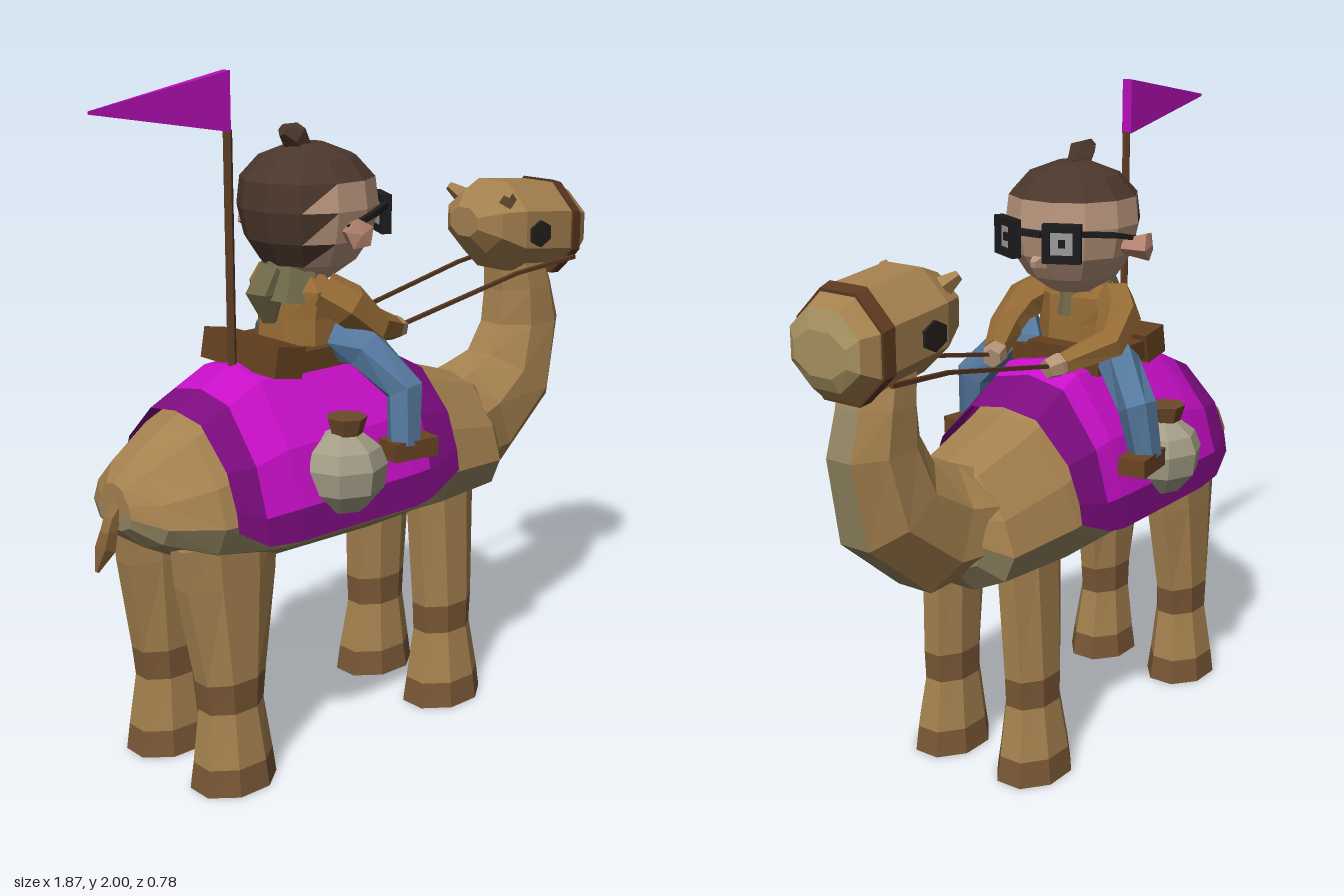
import * as THREE from 'three';

const COLORS = {
  body: 0xa5814f, belly: 0x938561, ankle: 0x7a5836, hoof: 0x7a5836, tail: 0x8f6c3e, tailTuft: 0x7d5c36,
  head: 0xa5814f, muzzle: 0xa5905f, eye: 0x241f1d, bridle: 0x5b3820, rein: 0x5b3820,
  blanket: 0xc80fc8, blanketBorder: 0x7d0c80, saddle: 0x64401f, pole: 0x5f3d24, flag: 0xb80fb8,
  sack: 0xa39d86, sackTie: 0x6b4a2a, jacket: 0x966b35, scarf: 0x6e6848, trousers: 0x55789e,
  boot: 0x6b4425, hand: 0xb59578, face: 0xb8947c, hair: 0x4b372c, ear: 0xb98672, glasses: 0x1c1c1e,
  lens: 0x9a9a9a,
};
const V = (x, y, z) => new THREE.Vector3(x, y, z);

function add(parent, name, geometry, x = 0, y = 0, z = 0) {
  const material = new THREE.MeshStandardMaterial({ color: COLORS[name], flatShading: true, side: THREE.DoubleSide });
  const mesh = new THREE.Mesh(geometry, material);
  mesh.name = name;
  mesh.position.set(x, y, z);
  parent.add(mesh);
  return mesh;
}

// Skins a row of cross-sections; pick(segment, column, centre) names the part each face belongs to
function loft(parent, rings, pick, closed = true) {
  const parts = {};
  const tri = (i, j, a, b, c) => {
    const mid = V(0, 0, 0).add(a).add(b).add(c).divideScalar(3);
    const list = (parts[pick(i, j, mid)] ??= []);
    for (const p of [a, b, c]) list.push(p.x, p.y, p.z);
  };
  const n = rings[0].length;
  for (let i = 0; i < rings.length - 1; i++) {
    for (let j = 0; j < (closed ? n : n - 1); j++) {
      const k = (j + 1) % n, [r, s] = [rings[i], rings[i + 1]];
      tri(i, j, r[j], r[k], s[k]);
      tri(i, j, r[j], s[k], s[j]);
    }
  }
  if (closed) for (const end of [0, rings.length - 1]) {
    const ring = rings[end], mid = V(0, 0, 0);
    ring.forEach((p) => mid.addScaledVector(p, 1 / n));
    for (let j = 0; j < n; j++) {
      const [a, b] = [ring[j], ring[(j + 1) % n]];
      end ? tri(end, j, mid, a, b) : tri(-1, j, mid, b, a);
    }
  }
  for (const [name, list] of Object.entries(parts)) {
    const g = new THREE.BufferGeometry();
    g.setAttribute('position', new THREE.Float32BufferAttribute(list, 3));
    g.computeVertexNormals();
    add(parent, name, g);
  }
}

// Ring of n corners around centre c, spanned by half axes u and v
function ring(c, u, v, n = 8, turn = 0.5) {
  return Array.from({ length: n }, (_, j) => {
    const a = ((j + turn) / n) * Math.PI * 2;
    return c.clone().addScaledVector(u, Math.cos(a)).addScaledVector(v, Math.sin(a));
  });
}

// Faceted limb through points [x, y, z, radius]
function limb(parent, name, pts, sides = 6) {
  const p = pts.map((q) => V(q[0], q[1], q[2]));
  const rings = p.map((c, i) => {
    const t = p[Math.min(i + 1, p.length - 1)].clone().sub(p[Math.max(i - 1, 0)]).normalize();
    const u = V(0, 0, 1).addScaledVector(t, -t.z).normalize();
    const v = t.clone().cross(u);
    return ring(c, u.multiplyScalar(pts[i][3]), v.multiplyScalar(pts[i][3]), sides);
  });
  loft(parent, rings, () => name);
}

function buildCamel(g) {
  // Torso: x, top, bottom, half width
  const half = [[0, 1], [0.45, 0.93], [0.85, 0.62], [1, 0.35], [0.85, 0.14], [0.35, 0]];
  const profile = [...half, ...half.slice(1).reverse().map(([z, y]) => [-z, y])];
  const torso = [[-0.87, 0.92, 0.79, 0.08], [-0.82, 0.97, 0.74, 0.18], [-0.68, 1.06, 0.67, 0.25], [-0.46, 1.16, 0.62, 0.275],
    [-0.02, 1.185, 0.615, 0.275], [0.17, 1.09, 0.62, 0.265], [0.42, 1.01, 0.63, 0.225], [0.48, 0.98, 0.7, 0.16]];
  loft(g, torso.map(([x, top, low, w]) => profile.map(([z, y]) => V(x, low + (top - low) * y, z * w))),
    (i, j) => (j >= 3 && j <= 7 ? 'belly' : 'body'));

  // Neck: back x, y, front x, y, half width
  const neck = [[0.4, 1.0, 0.45, 0.68, 0.17], [0.46, 1.02, 0.59, 0.67, 0.145], [0.55, 1.05, 0.83, 0.87, 0.125],
    [0.6, 1.14, 0.88, 1.13, 0.105], [0.61, 1.25, 0.84, 1.26, 0.1], [0.6, 1.36, 0.8, 1.36, 0.09]];
  loft(g, neck.map(([bx, by, fx, fy, w]) =>
    ring(V((bx + fx) / 2, (by + fy) / 2, 0), V((bx - fx) * 0.53, (by - fy) * 0.53, 0), V(0, 0, w * 1.08))),
  (i, j) => (j === 3 ? 'belly' : 'body'));

  // Head and bridle band: x, top, bottom, half width
  const slice = ([x, top, low, w]) => ring(V(x, (top + low) / 2, 0), V(0, (top - low) * 0.54, 0), V(0, 0, w * 1.08));
  const skull = [[0.47, 1.53, 1.44, 0.06], [0.52, 1.575, 1.385, 0.12], [0.6, 1.605, 1.32, 0.15], [0.81, 1.585, 1.295, 0.148],
    [0.86, 1.57, 1.29, 0.142], [0.91, 1.545, 1.33, 0.12], [0.93, 1.49, 1.37, 0.09]];
  loft(g, skull.map(slice), (i) => (i > 4 ? 'muzzle' : 'head'));
  loft(g, [[0.815, 1.592, 1.286, 0.155], [0.855, 1.58, 1.282, 0.15]].map(slice), () => 'bridle');

  for (const s of [1, -1]) {
    const eye = add(g, 'eye', new THREE.CylinderGeometry(0.05, 0.05, 0.02, 6), 0.66, 1.445, s * 0.148);
    eye.rotation.x = Math.PI / 2;
    eye.scale.z = 0.85;
    limb(g, 'head', [[0.56, 1.55, s * 0.1, 0.03], [0.53, 1.58, s * 0.13, 0.014]], 4);
    limb(g, 'rein', [[0.07, 1.225, s * 0.11, 0.008], [0.58, 1.325, s * 0.13, 0.008], [0.83, 1.35, s * 0.15, 0.009]], 4);

    // Legs: y, back x, front x, inner z, outer z
    const hind = [[0, -0.73, -0.48, 0.06, 0.26], [0.08, -0.72, -0.49, 0.07, 0.25], [0.24, -0.7, -0.51, 0.085, 0.225],
      [0.33, -0.71, -0.5, 0.085, 0.225], [0.62, -0.76, -0.45, 0.07, 0.215], [0.74, -0.77, -0.44, 0.07, 0.21], [0.86, -0.7, -0.5, 0.08, 0.18]];
    const fore = [[0, 0.11, 0.37, 0.06, 0.26], [0.08, 0.12, 0.36, 0.07, 0.25], [0.24, 0.145, 0.335, 0.085, 0.225],
      [0.33, 0.14, 0.34, 0.085, 0.225], [0.7, 0.12, 0.355, 0.07, 0.21], [0.85, 0.15, 0.33, 0.08, 0.18]];
    for (const leg of [hind, fore]) {
      loft(g, leg.map(([y, x0, x1, z0, z1]) =>
        ring(V((x0 + x1) / 2, y, (s * (z0 + z1)) / 2), V(0, 0, (z1 - z0) * 0.54), V((x1 - x0) * 0.54, 0, 0))),
      (i) => (i < 1 ? 'hoof' : i === 2 ? 'ankle' : 'body'));
    }
  }

  // Tail
  limb(g, 'tail', [[-0.83, 0.88, 0, 0.03], [-0.88, 0.82, 0, 0.025], [-0.9, 0.77, 0, 0.022]], 5);
  limb(g, 'tailTuft', [[-0.89, 0.79, 0, 0.025], [-0.905, 0.74, 0, 0.03], [-0.935, 0.68, 0, 0.006]], 5);
}

function buildTack(g) {
  // Blanket draped over the hump: x, top, hem, half width
  const drape = [[-1, 0], [-0.965, 0.2], [-0.82, 0.56], [-0.42, 0.94], [0, 1], [0.42, 0.94], [0.82, 0.56], [0.965, 0.2], [1, 0]];
  const cloth = [[-0.66, 1.085, 0.8, 0.28], [-0.57, 1.13, 0.745, 0.298], [-0.46, 1.185, 0.735, 0.305],
    [-0.02, 1.21, 0.735, 0.305], [0.05, 1.175, 0.745, 0.3], [0.175, 1.105, 0.8, 0.285]];
  loft(g, cloth.map(([x, top, hem, w]) => drape.map(([z, y]) => V(x, hem + (top - hem) * y, z * w))),
    (i, j) => (i % 4 === 0 || j % 7 === 0 ? 'blanketBorder' : 'blanket'), false);

  // Saddle with raised back and front
  add(g, 'saddle', new THREE.BoxGeometry(0.34, 0.06, 0.32), -0.25, 1.195, 0);
  add(g, 'saddle', new THREE.BoxGeometry(0.1, 0.09, 0.34), -0.385, 1.205, 0).rotation.z = -0.18;
  add(g, 'saddle', new THREE.BoxGeometry(0.06, 0.07, 0.16), -0.08, 1.215, 0);

  // Flag on its pole
  add(g, 'pole', new THREE.CylinderGeometry(0.013, 0.013, 0.68, 6), -0.458, 1.5, 0);
  loft(g, [[-0.9, 1.91, 1.918, 0.002], [-0.458, 1.835, 2, 0.016]].map(([x, low, top, w]) =>
    [V(x, top, -w), V(x, top, w), V(x, low, w), V(x, low, -w)]), () => 'flag');

  // Sacks hanging on both sides
  const bag = [[0, -0.125], [0.07, -0.12], [0.12, -0.06], [0.13, 0.01], [0.11, 0.06], [0.05, 0.105], [0, 0.11]];
  for (const s of [1, -1]) {
    add(g, 'sack', new THREE.LatheGeometry(bag.map(([r, y]) => new THREE.Vector2(r, y)), 8), -0.275, 0.905, s * 0.262);
    add(g, 'sackTie', new THREE.CylinderGeometry(0.06, 0.045, 0.05, 7), -0.275, 1.03, s * 0.28);
  }
}

function buildRider(g) {
  // Jacket and scarf
  loft(g, [[1.19, 0.11, 0.14], [1.3, 0.1, 0.14], [1.38, 0.09, 0.15], [1.43, 0.06, 0.09]].map(([y, x, z]) =>
    ring(V(-0.22, y, 0), V(0, 0, z), V(x, 0, 0))), () => 'jacket');
  const scarf = add(g, 'scarf', new THREE.CylinderGeometry(0.09, 0.125, 0.11, 8), -0.235, 1.395, 0);
  scarf.rotation.z = -0.15;
  limb(g, 'scarf', [[-0.3, 1.43, 0, 0.05], [-0.34, 1.37, 0, 0.055], [-0.31, 1.29, 0, 0.03]], 5);

  // Head with hair over the crown and back
  const skull = [[1.4, 0.07], [1.45, 0.14], [1.52, 0.185], [1.61, 0.205], [1.69, 0.195], [1.75, 0.14], [1.785, 0.05]];
  loft(g, skull.map(([y, r]) => ring(V(-0.175, y, 0), V(0, 0, r), V(r, 0, 0), 12)),
    (i, j, c) => (i >= 4 || (c.x < -0.26 && c.y > 1.47) ? 'hair' : 'face'));
  limb(g, 'hair', [[-0.2, 1.77, 0, 0.035], [-0.225, 1.81, 0, 0.042], [-0.265, 1.825, 0, 0.018]], 5);
  limb(g, 'face', [[-0.01, 1.51, 0, 0.03], [0.03, 1.505, 0, 0.012]], 4);

  // Spectacle rim, square with a square opening
  const box = (shape, r) => shape.moveTo(-r, -r).lineTo(r, -r).lineTo(r, r).lineTo(-r, r).closePath();
  const rim = box(new THREE.Shape(), 0.057);
  rim.holes.push(box(new THREE.Path(), 0.034));
  add(g, 'glasses', new THREE.BoxGeometry(0.02, 0.018, 0.08), 0.04, 1.6, 0);

  for (const s of [1, -1]) {
    const eye = new THREE.Group();
    eye.name = 'eyepiece';
    eye.position.set(0.008, 1.577, s * 0.092);
    eye.rotation.y = Math.PI / 2 - s * 0.45;
    add(eye, 'glasses', new THREE.ExtrudeGeometry(rim, { depth: 0.03, bevelEnabled: false }));
    add(eye, 'lens', new THREE.BoxGeometry(0.07, 0.07, 0.015), 0, 0, 0.01);
    add(eye, 'glasses', new THREE.BoxGeometry(0.02, 0.024, 0.01), 0, 0, 0.019);
    g.add(eye);
    limb(g, 'glasses', [[-0.01, 1.605, s * 0.15, 0.012], [-0.1, 1.595, s * 0.2, 0.012], [-0.21, 1.57, s * 0.22, 0.01]], 4);
    limb(g, 'ear', [[-0.175, 1.55, s * 0.18, 0.025], [-0.2, 1.555, s * 0.255, 0.045], [-0.2, 1.555, s * 0.265, 0.02]], 5);

    // Arms holding the reins, legs astride the blanket
    limb(g, 'jacket', [[-0.22, 1.38, s * 0.12, 0.06], [-0.17, 1.34, s * 0.175, 0.065], [-0.09, 1.27, s * 0.19, 0.053], [0.05, 1.23, s * 0.125, 0.036]]);
    limb(g, 'hand', [[0.03, 1.235, s * 0.135, 0.026], [0.06, 1.228, s * 0.115, 0.038], [0.1, 1.22, s * 0.1, 0.03]]);
    limb(g, 'trousers', [[-0.18, 1.24, s * 0.12, 0.065], [-0.13, 1.21, s * 0.2, 0.065], [-0.075, 1.1, s * 0.305, 0.058], [-0.095, 0.945, s * 0.325, 0.048]]);
    const boot = add(g, 'boot', new THREE.BoxGeometry(0.15, 0.055, 0.085), -0.075, 0.935, s * 0.325);
    boot.rotation.y = -s * 0.15;
  }
}

export function createModel() {
  const model = new THREE.Group();
  model.name = 'camelWithRider';
  for (const [name, build] of [['camel', buildCamel], ['tack', buildTack], ['rider', buildRider]]) {
    const g = new THREE.Group();
    g.name = name;
    build(g);
    model.add(g);
  }
  return model;
}
